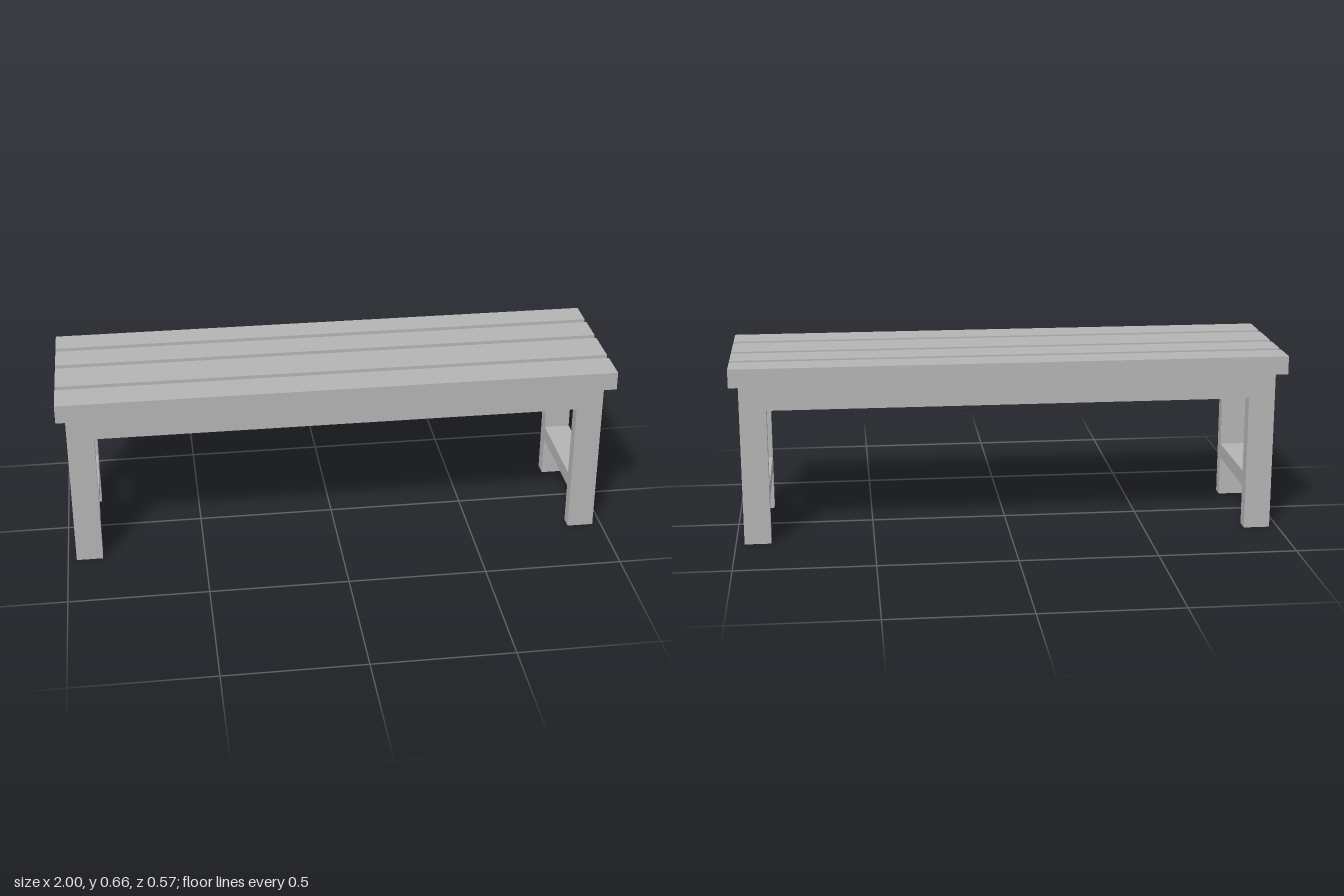
import * as THREE from 'three';

const SEAT_BOTTOM = 0.597, SEAT_TOP = 0.664, GROOVE_FLOOR = 0.645, APRON_BOTTOM = 0.498;
const LEG_OUT = 0.969, LEG_IN = 0.873;

export function createModel() {
  const model = new THREE.Group();
  model.name = 'bench';
  const grey = new THREE.MeshStandardMaterial({ color: 0xb4b4b4 });
  grey.name = 'plain grey';

  const add = (name, geometry) => {
    const mesh = new THREE.Mesh(geometry, grey);
    mesh.name = name;
    model.add(mesh);
    return mesh;
  };
  const extrude = (points, depth) => new THREE.ExtrudeGeometry(
    new THREE.Shape(points.map(([x, y]) => new THREE.Vector2(x, y))),
    { depth, bevelEnabled: false });
  const box = (name, x0, x1, y0, y1, z0, z1) =>
    add(name, new THREE.BoxGeometry(x1 - x0, y1 - y0, z1 - z0))
      .position.set((x0 + x1) / 2, (y0 + y1) / 2, (z0 + z1) / 2);

  // Seat: grooved cross-section swept along x (profile is drawn in -z, y)
  const profile = [[-0.283, SEAT_BOTTOM], [0.283, SEAT_BOTTOM], [0.283, SEAT_TOP]];
  for (const [a, b] of [[0.177, 0.152], [0.036, 0.011], [-0.135, -0.16]]) {
    profile.push([a, SEAT_TOP], [a, GROOVE_FLOOR], [b, GROOVE_FLOOR], [b, SEAT_TOP]);
  }
  profile.push([-0.283, SEAT_TOP]);
  add('slattedSeat', extrude(profile, 2).rotateY(Math.PI / 2).translate(-1, 0, 0));

  // Long frames: a pair of legs joined by an apron
  const frame = [
    [-LEG_OUT, 0], [-LEG_IN, 0], [-LEG_IN, APRON_BOTTOM], [LEG_IN, APRON_BOTTOM],
    [LEG_IN, 0], [LEG_OUT, 0], [LEG_OUT, SEAT_BOTTOM], [-LEG_OUT, SEAT_BOTTOM]];
  add('frontLegsAndApron', extrude(frame, 0.047).translate(0, 0, 0.185));
  add('backLegsAndApron', extrude(frame, 0.053).translate(0, 0, -0.23));

  // Ends: apron and stretcher between front and back legs
  for (const [side, x0, x1] of [['left', LEG_IN, LEG_OUT], ['right', -LEG_OUT, -LEG_IN]]) {
    box(side + 'EndApron', x0, x1, APRON_BOTTOM, SEAT_BOTTOM, -0.177, 0.185);
    box(side + 'Stretcher', x0, x1, 0.15, 0.205, -0.177, 0.185);
  }
  return model;
}
